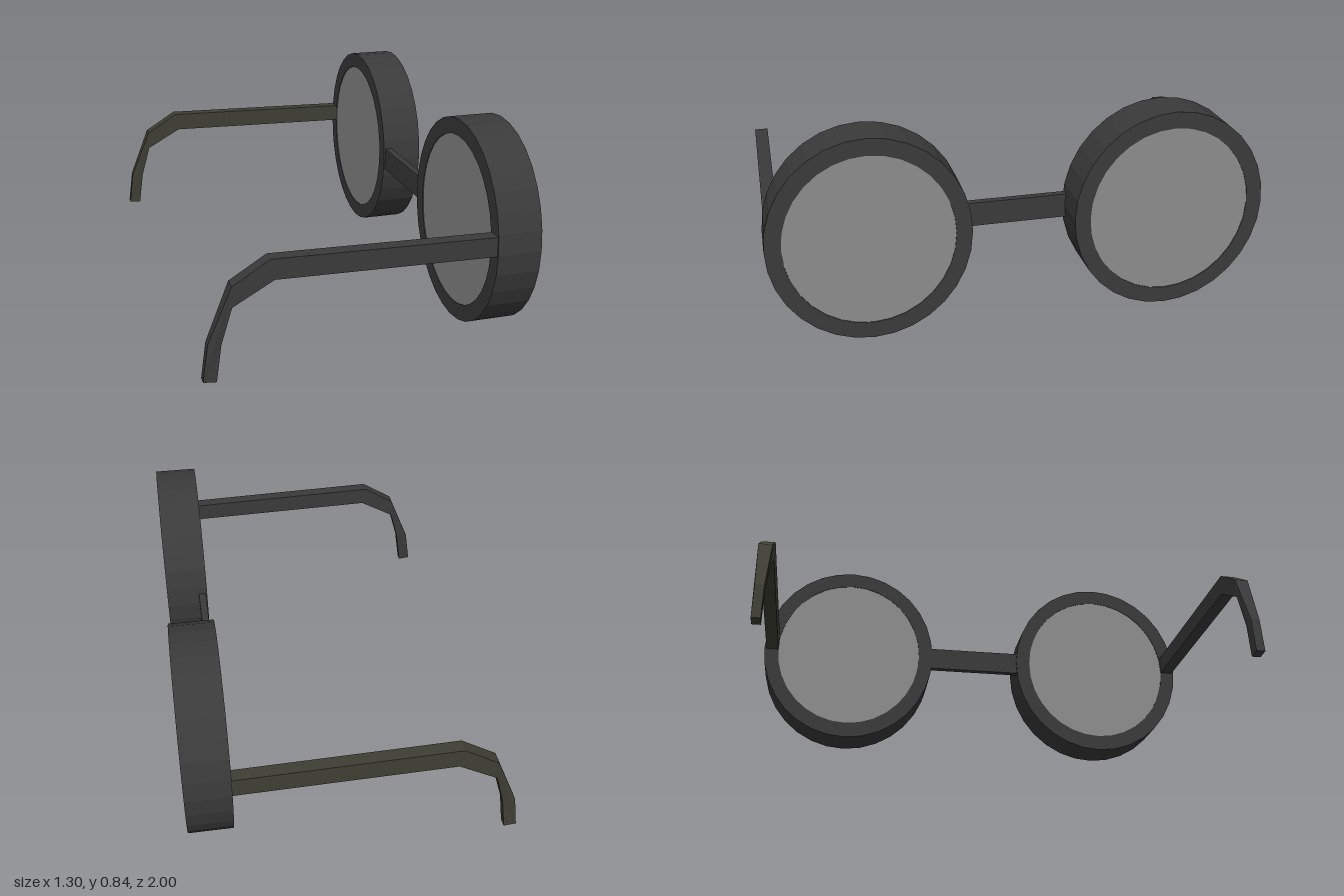
import * as THREE from 'three';

const dark = new THREE.MeshStandardMaterial({ color: 0x3a3a3a, flatShading: true });
const olive = new THREE.MeshStandardMaterial({ color: 0x3f3e34, flatShading: true });
const glass = new THREE.MeshStandardMaterial({ color: 0x8c8c8c });

const EYE_Y = 0.42, EYE_Z = 0.603;   // centre of each eye ring
const BACK = 0.47, FRONT = 0.648;    // depth range of the rings along x

// Oval ring lying in the yz plane, extruded along x
function rimGeometry() {
  const shape = new THREE.Shape().absellipse(0, 0, 0.397, 0.42, 0, Math.PI * 2);
  shape.holes.push(new THREE.Path().absellipse(0, 0, 0.333, 0.352, 0, Math.PI * 2));
  const geo = new THREE.ExtrudeGeometry(shape, { depth: FRONT - BACK, bevelEnabled: false, curveSegments: 16 });
  return geo.rotateY(Math.PI / 2).translate(BACK, 0, 0);
}

// Oval lens filling the ring, almost flush with both of its faces
function lensGeometry() {
  const geo = new THREE.CylinderGeometry(1, 1, FRONT - BACK - 0.006, 32);
  geo.rotateZ(Math.PI / 2).scale(1, 0.352, 0.333);
  return geo.translate((FRONT + BACK) / 2, 0, 0);
}

// Side arm: bent profile extruded sideways, its hooked end made thinner
function armGeometry() {
  const profile = [
    [0.48, 0.493], [-0.4, 0.512], [-0.54, 0.425], [-0.63, 0.205], [-0.65, 0.06],
    [-0.6, 0.055], [-0.58, 0.2], [-0.54, 0.345], [-0.385, 0.432], [0.48, 0.415],
  ];
  const shape = new THREE.Shape(profile.map(([x, y]) => new THREE.Vector2(x, y)));
  const geo = new THREE.ExtrudeGeometry(shape, { depth: 0.055, bevelEnabled: false });
  geo.translate(0, 0, -0.0275);
  const p = geo.attributes.position;
  for (let i = 0; i < p.count; i++) {
    if (p.getX(i) < -0.56) p.setZ(i, p.getZ(i) * 0.65);
  }
  geo.computeVertexNormals();
  return geo;
}

export function createModel() {
  const model = new THREE.Group();
  model.name = 'spectacles';
  const add = (name, geo, material, y = 0, z = 0) => {
    const mesh = new THREE.Mesh(geo, material);
    mesh.name = name;
    mesh.position.set(0, y, z);
    model.add(mesh);
  };

  const rim = rimGeometry(), lens = lensGeometry(), arm = armGeometry();
  for (const [side, s] of [['First', 1], ['Second', -1]]) {
    add('rim' + side, rim, dark, EYE_Y, s * EYE_Z);
    add('lens' + side, lens, glass, EYE_Y, s * EYE_Z);
    add('arm' + side, arm, s > 0 ? dark : olive, 0, s * 0.963);
  }

  // Bridge between the rings, near their back faces
  const bridge = new THREE.BoxGeometry(0.03, 0.1, 0.46).translate(0.492, 0, 0);
  add('bridge', bridge, dark, EYE_Y);
  return model;
}
